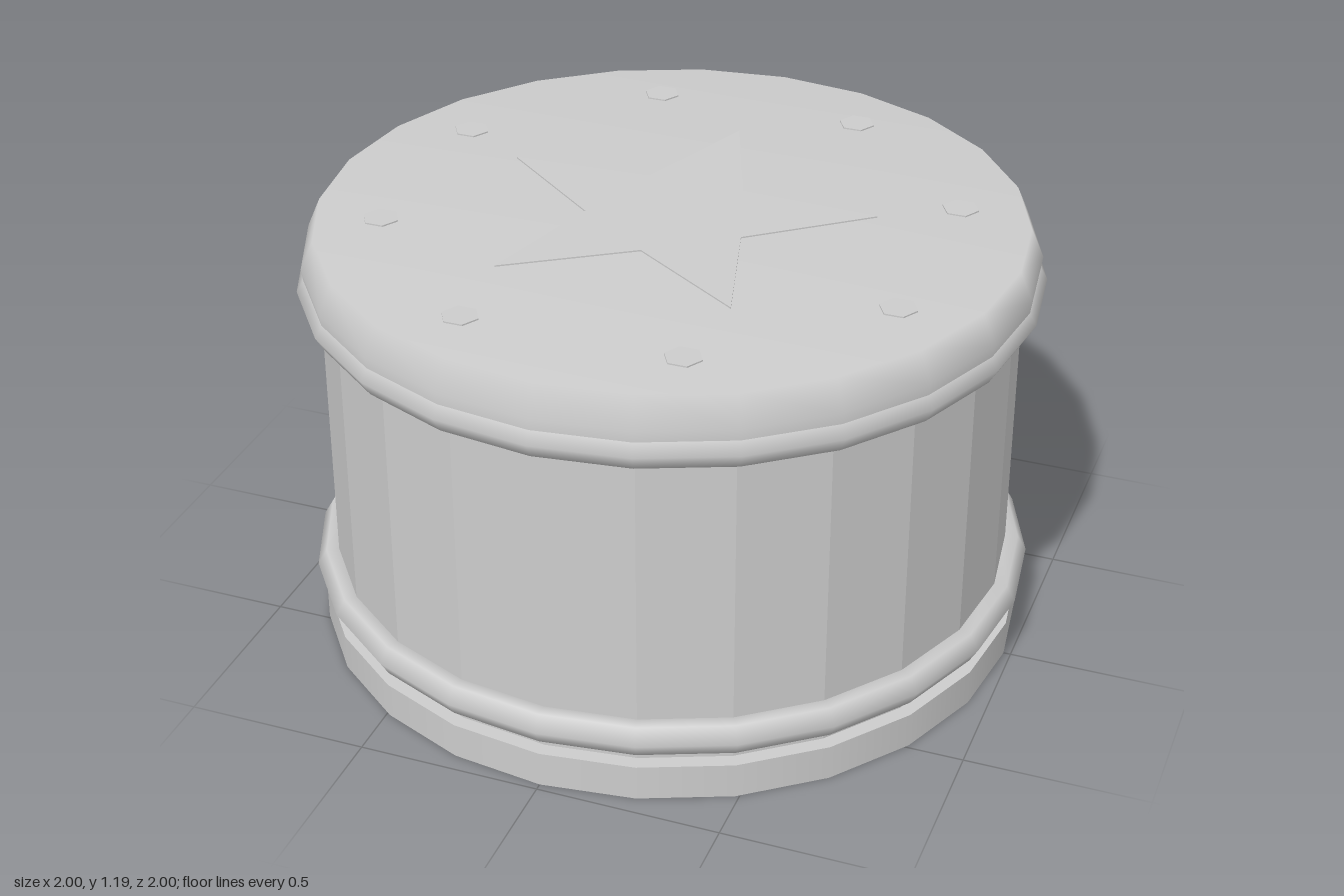
import * as THREE from 'three';

const SIDES = 24;
const TOP = 1.186;

export function createModel() {
  const group = new THREE.Group();
  const grey = new THREE.MeshStandardMaterial({ color: 0xcccccc });
  grey.name = 'light grey';
  const greyFaceted = new THREE.MeshStandardMaterial({ color: 0xcccccc, flatShading: true });
  greyFaceted.name = 'light grey faceted';

  const add = (name, geometry, material, x = 0, y = 0, z = 0) => {
    const mesh = new THREE.Mesh(geometry, material);
    mesh.name = name;
    mesh.position.set(x, y, z);
    group.add(mesh);
    return mesh;
  };

  // Base plate and faceted drum wall
  add('base', new THREE.CylinderGeometry(0.98, 0.98, 0.1, SIDES), grey, 0, 0.05, 0);
  add('body', new THREE.CylinderGeometry(0.94, 0.94, 0.96, SIDES, 1, true), greyFaceted, 0, 0.57, 0);

  // Six-sided rings around the lower and upper edge
  for (const [name, y] of [['lowerRing', 0.18], ['upperRing', 1.04]]) {
    const ring = new THREE.TorusGeometry(0.95, 0.05, 6, SIDES).rotateX(Math.PI / 2);
    add(name, ring, grey, 0, y, 0);
  }

  // Lid with a sloped rim, shaded softly into the flat top
  const profile = [[0.975, 1.03], [0.985, 1.105], [0.95, TOP], [0, TOP]];
  add('lid', new THREE.LatheGeometry(profile.map(([r, y]) => new THREE.Vector2(r, y)), SIDES), grey);

  // Five-pointed star inlay
  const star = new THREE.Shape();
  for (let i = 0; i < 10; i++) {
    const r = i % 2 ? 0.23 : 0.545;
    const a = Math.PI / 2 + (i * Math.PI) / 5;
    star[i ? 'lineTo' : 'moveTo'](r * Math.cos(a), r * Math.sin(a));
  }
  star.closePath();
  const starPlate = new THREE.ExtrudeGeometry(star, { depth: 0.004, bevelEnabled: false });
  add('star', starPlate.rotateX(-Math.PI / 2), grey, 0, TOP, 0);

  // Ring of eight hexagonal studs
  for (let i = 0; i < 8; i++) {
    const a = Math.PI / 8 + (i * Math.PI) / 4;
    const stud = new THREE.CylinderGeometry(0.05, 0.05, 0.004, 6, 1, false, Math.PI / 6);
    add('stud', stud, greyFaceted, 0.77 * Math.cos(a), TOP + 0.002, 0.77 * Math.sin(a));
  }

  return group;
}
